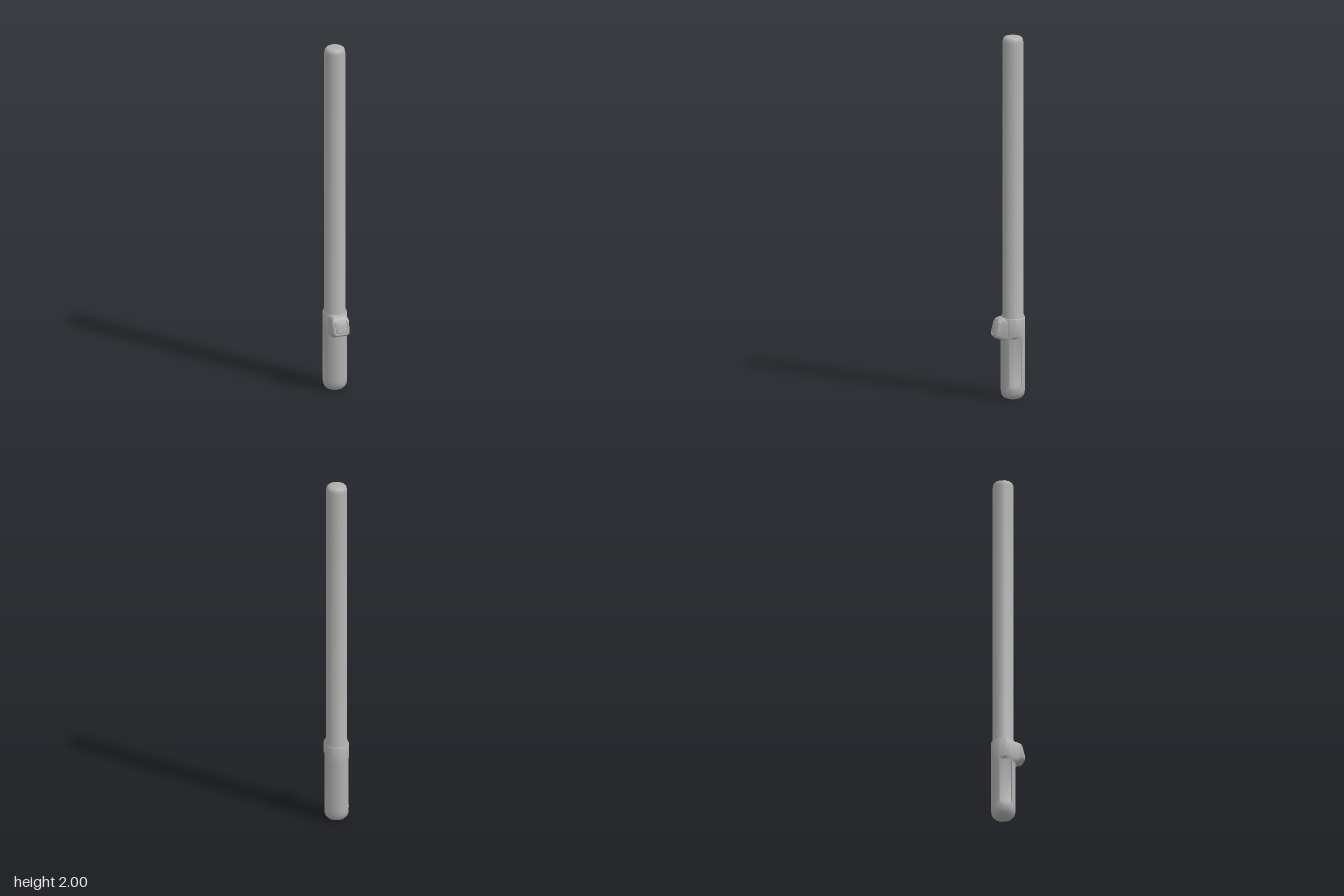
import * as THREE from 'three';
import { toCreasedNormals } from 'three/addons/utils/BufferGeometryUtils.js';

const AXIS_Z = -0.026;

// Skin a list of closed cross-sections and cap both ends
function loft(rings, crease = 0.7) {
  const n = rings[0].length, pos = [], idx = [];
  rings.forEach(r => r.forEach(p => pos.push(p.x, p.y, p.z)));
  for (let i = 0; i < rings.length - 1; i++) {
    for (let j = 0; j < n; j++) {
      const k = (j + 1) % n, a = i * n + j, b = i * n + k;
      idx.push(a, b, b + n, a, b + n, a + n);
    }
  }
  [0, rings.length - 1].forEach(i => {
    const c = new THREE.Vector3();
    rings[i].forEach(p => c.addScaledVector(p, 1 / n));
    const ci = pos.length / 3;
    pos.push(c.x, c.y, c.z);
    for (let j = 0; j < n; j++) {
      const a = i * n + j, b = i * n + (j + 1) % n;
      if (i === 0) idx.push(ci, b, a); else idx.push(ci, a, b);
    }
  });
  const g = new THREE.BufferGeometry();
  g.setAttribute('position', new THREE.Float32BufferAttribute(pos, 3));
  g.setIndex(idx);
  return toCreasedNormals(g, crease);
}

// Twelve-sided grip section; recess > 0 sinks a flat panel into each side
function gripRing(r, y, recess) {
  const pts = [];
  const add = (x, z) => pts.push(new THREE.Vector3(x, y, z + AXIS_Z));
  const sidePanel = s => {
    const t = 0.1, edgeX = r * (0.866 + 0.134 * t), edgeZ = 0.5 * r * (1 - t);
    const flat = 0.055;
    [[edgeX, s * edgeZ], [r, 0], [edgeX, -s * edgeZ]].forEach(([x, z]) =>
      add(s * THREE.MathUtils.lerp(x, flat, recess), z));
  };
  for (let i = 0; i < 12; i++) {
    if (i === 3) sidePanel(1);
    else if (i === 9) sidePanel(-1);
    else add(r * Math.sin(i * Math.PI / 6), r * Math.cos(i * Math.PI / 6));
  }
  return pts;
}

// Rounded rectangle between a bottom and a top point, given as [z, y]
function padRing([zb, yb], [zt, yt], w, round = 0.4) {
  const pts = [];
  for (let q = 0; q < 4; q++) {
    const sx = q === 0 || q === 3 ? 1 : -1, sy = q < 2 ? 1 : -1;
    for (let k = 0; k < 4; k++) {
      const a = (q + k / 3) * Math.PI / 2;
      const u = sx * (1 - round) + round * Math.cos(a);
      const v = sy * (1 - round) + round * Math.sin(a);
      pts.push(new THREE.Vector3(u * w, (yb + yt) / 2 + v * (yt - yb) / 2,
        (zb + zt) / 2 + v * (zt - zb) / 2));
    }
  }
  return pts;
}

export function createModel() {
  const group = new THREE.Group();
  const grey = new THREE.MeshStandardMaterial({ color: 0xb0b0b0 });
  grey.name = 'grey';
  const add = (name, geometry) => {
    const m = new THREE.Mesh(geometry, grey);
    m.name = name;
    group.add(m);
    return m;
  };

  // Grip with rounded foot and flat side panels: radius, height, recess
  add('grip', loft([
    [0.032, 0, 0], [0.048, 0.006, 0], [0.060, 0.019, 0], [0.066, 0.036, 0],
    [0.068, 0.055, 0], [0.068, 0.07, 0], [0.068, 0.088, 1], [0.068, 0.335, 1],
    [0.068, 0.35, 0], [0.068, 0.445, 0], [0.065, 0.45, 0],
  ].map(a => gripRing(...a))));

  // Long tube with a sloping collar at its base and a rounded tip
  const profile = [
    [0.064, 0.44], [0.064, 0.452], [0.058, 0.468], [0.058, 1.965],
    [0.056, 1.98], [0.051, 1.991], [0.042, 1.997], [0.022, 2], [0, 2],
  ].map(p => new THREE.Vector2(...p));
  const tube = add('tube', toCreasedNormals(new THREE.LatheGeometry(profile, 12), 0.7));
  tube.position.z = AXIS_Z;

  // Switch housing growing out of the front of the grip
  add('switchHousing', loft([
    padRing([0, 0.318], [0, 0.452], 0.056),
    padRing([0.043, 0.325], [0.038, 0.451], 0.049),
    padRing([0.062, 0.337], [0.052, 0.447], 0.047),
    padRing([0.080, 0.342], [0.062, 0.442], 0.048),
    padRing([0.088, 0.351], [0.069, 0.434], 0.042),
    padRing([0.088, 0.359], [0.072, 0.428], 0.035),
    padRing([0.084, 0.360], [0.068, 0.427], 0.034),
  ], 0.6));

  // Push button set in the housing
  add('button', loft([
    padRing([0.080, 0.363], [0.064, 0.426], 0.031, 0.25),
    padRing([0.088, 0.364], [0.073, 0.427], 0.031, 0.25),
    padRing([0.090, 0.368], [0.076, 0.424], 0.027, 0.25),
  ], 0.6));

  return group;
}
